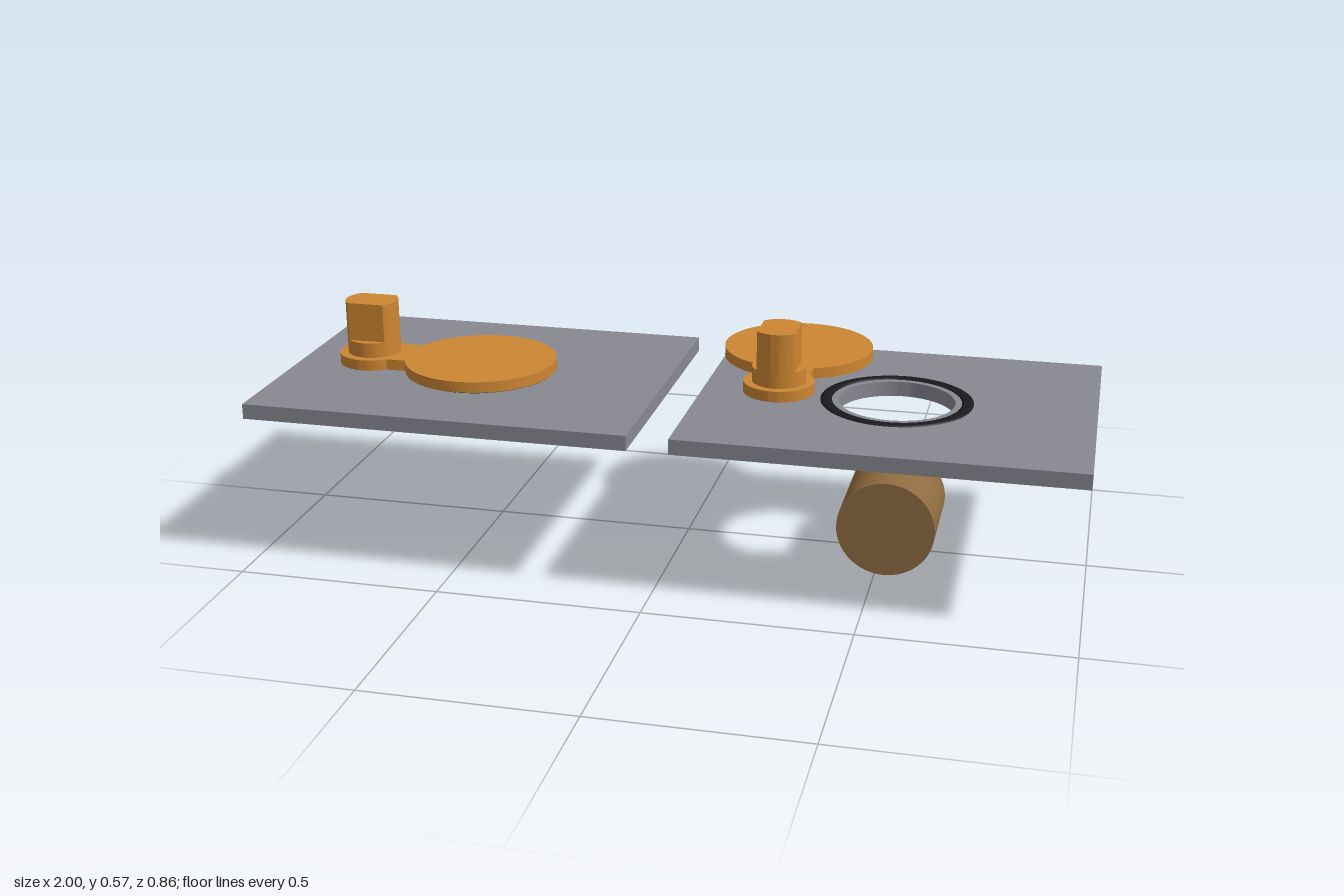
import * as THREE from 'three';
import { toCreasedNormals } from 'three/addons/utils/BufferGeometryUtils.js';

const orange = new THREE.MeshStandardMaterial({ color: 0xcd8632 });
orange.name = 'orange';
const grey = new THREE.MeshStandardMaterial({ color: 0x888892 });
grey.name = 'grey';
const brown = new THREE.MeshStandardMaterial({ color: 0x8f6c40 });
brown.name = 'brown';
const black = new THREE.MeshStandardMaterial({ color: 0x1a1a1c });
black.name = 'black';

const CZ = 0.046; // common centre line of every part
const PLATE_Y = 0.37, PLATE_TOP = 0.407, COVER_Y = 0.41, COVER_TOP = 0.437;

function part(name, geometry, material, x = 0, y = 0, z = 0) {
  const mesh = new THREE.Mesh(geometry, material);
  mesh.name = name;
  mesh.position.set(x, y, z);
  return mesh;
}

// Extrudes a plan outline upwards; outline y points to -z
function slab(shape, height) {
  const geo = new THREE.ExtrudeGeometry(shape, { depth: height, bevelEnabled: false, curveSegments: 48 });
  geo.rotateX(-Math.PI / 2);
  return toCreasedNormals(geo, 0.5);
}

// Keyhole outline: pivot boss, short arm, large cover disc
function coverShape() {
  const small = 0.087, big = 0.19, half = 0.066, reach = 0.285;
  const a = Math.asin(half / small), b = Math.asin(half / big);
  const s = new THREE.Shape();
  s.absarc(0, 0, small, a, 2 * Math.PI - a, false);
  s.absarc(reach, 0, big, Math.PI + b, 3 * Math.PI - b, false);
  s.closePath();
  return s;
}

// Round shaft with two opposite flats
function flattedShape() {
  const r = 0.066, a = Math.asin(0.047 / r);
  const s = new THREE.Shape();
  s.absarc(0, 0, r, -a, a, false);
  s.absarc(0, 0, r, Math.PI - a, Math.PI + a, false);
  s.closePath();
  return s;
}

function swingCover(x, angle) {
  const g = new THREE.Group();
  g.name = 'swingCover';
  g.add(
    part('coverDisc', slab(coverShape(), COVER_TOP - COVER_Y), orange, 0, COVER_Y),
    part('shaft', new THREE.CylinderGeometry(0.066, 0.066, 0.038, 48), orange, 0, 0.456),
    part('shaftKey', slab(flattedShape(), 0.097), orange, 0, 0.475)
  );
  g.position.set(x, 0, CZ);
  g.rotation.y = angle;
  return g;
}

function basePlate(x) {
  const g = new THREE.Group();
  g.name = 'basePlate';
  const s = new THREE.Shape();
  s.moveTo(-0.475, -0.38);
  s.lineTo(0.475, -0.38);
  s.lineTo(0.475, 0.38);
  s.lineTo(-0.475, 0.38);
  s.closePath();
  const hole = new THREE.Path();
  hole.absarc(0, 0, 0.14, 0, Math.PI * 2, true);
  s.holes.push(hole);
  g.add(part('plate', slab(s, PLATE_TOP - PLATE_Y), grey, 0, PLATE_Y));

  // Seal standing slightly proud of the plate around the opening
  const profile = [[0.184, -0.004], [0.184, 0.001], [0.177, 0.003], [0.163, 0.003], [0.156, 0.001], [0.156, -0.004]]
    .map(([r, y]) => new THREE.Vector2(r, y));
  g.add(part('sealRing', new THREE.LatheGeometry(profile, 64), black, 0, PLATE_TOP));
  g.position.set(x, 0, CZ);
  return g;
}

export function createModel() {
  const model = new THREE.Group();
  model.name = 'portCoverAssembly';

  // Closed cover on one plate, open cover on the other
  model.add(basePlate(-0.525), basePlate(0.525));
  model.add(swingCover(-0.812, 0), swingCover(0.236, Math.PI / 2));

  // Loose round plug lying below the open port
  const plug = new THREE.CylinderGeometry(0.119, 0.119, 0.237, 64);
  plug.rotateX(Math.PI / 2);
  model.add(part('plug', plug, brown, 0.523, 0.119, 0.048));
  return model;
}
